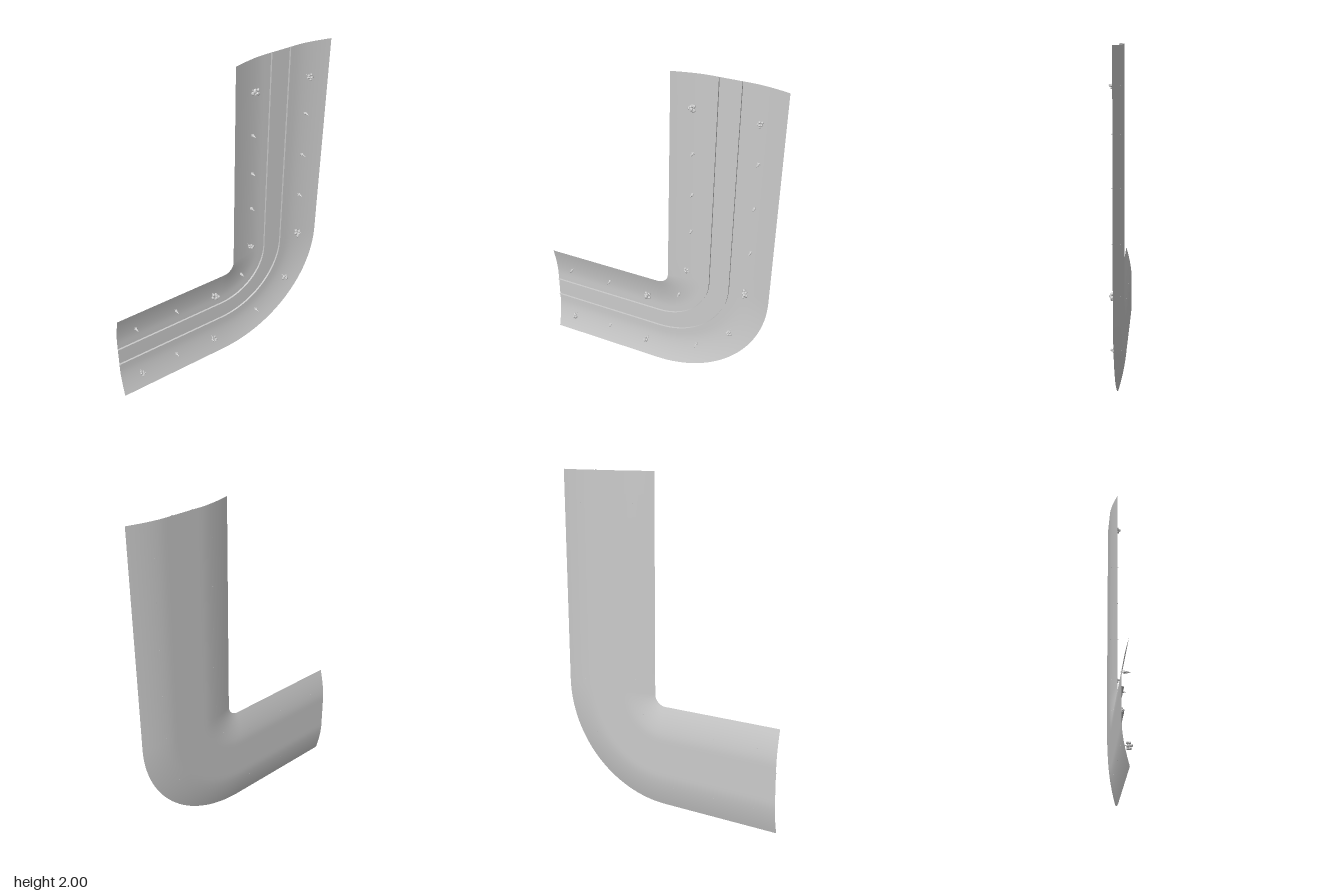
import * as THREE from 'three';
import { toCreasedNormals } from 'three/addons/utils/BufferGeometryUtils.js';

const CENTER = { x: 0.017, y: 0.7 };   // centre of the bend
const INNER = 0.07, OUTER = 0.7, FLOOR = -0.036;

const material = new THREE.MeshStandardMaterial({ color: 0xcccccc, side: THREE.DoubleSide });

// Stations along the road: straight leg, quarter bend, upright straight
const stations = [];
for (let i = 0; i < 8; i++) {
  const x = -0.716 + (CENTER.x + 0.716) * i / 8;
  stations.push((r) => [x, CENTER.y - r]);
}
for (let i = 0; i <= 32; i++) {
  const a = -Math.PI / 2 + (Math.PI / 2) * i / 32;
  stations.push((r) => [CENTER.x + r * Math.cos(a), CENTER.y + r * Math.sin(a)]);
}
for (let i = 1; i <= 10; i++) {
  const y = CENTER.y + (2 - CENTER.y) * i / 10;
  stations.push((r) => [CENTER.x + r, y]);
}

// Height of the trough: flat floor, banks rising towards both edges
function bankHeight(r) {
  const edge = Math.min(r - INNER, OUTER - r);
  const t = Math.max(0, 1 - edge / 0.2);
  return FLOOR - FLOOR * Math.pow(t, 1.6);
}

// Sweep a [radius, z] profile along the stations
function sweep(profile, crease) {
  const n = profile.length, positions = [], index = [];
  stations.forEach((at, i) => {
    for (const [r, z] of profile) positions.push(...at(r), z);
    if (i === 0) return;
    for (let j = 0; j < n - 1; j++) {
      const a = (i - 1) * n + j, b = a + n;
      index.push(a, a + 1, b, b, a + 1, b + 1);
    }
  });
  const geometry = new THREE.BufferGeometry();
  geometry.setAttribute('position', new THREE.Float32BufferAttribute(positions, 3));
  geometry.setIndex(index);
  geometry.computeVertexNormals();
  return toCreasedNormals(geometry, crease);
}

function addMesh(parent, geometry, name, mat = material) {
  const mesh = new THREE.Mesh(geometry, mat);
  mesh.name = name;
  parent.add(mesh);
  return mesh;
}

const plantMaterial = new THREE.MeshStandardMaterial({ color: 0xcccccc, flatShading: true });
const blob = new THREE.IcosahedronGeometry(1, 0);
const cone = new THREE.ConeGeometry(1, 1, 5).rotateX(Math.PI / 2);
const stem = new THREE.CylinderGeometry(0.0015, 0.002, 1, 5).rotateX(Math.PI / 2);

// Ground height below a point on the front
function groundAt(x, y) {
  const dx = Math.max(0, x - CENTER.x), dy = Math.max(0, CENTER.y - y);
  return bankHeight(Math.hypot(dx, dy));
}

// Leafy cluster on a short stem
function bush(x, y, size, seed) {
  const group = new THREE.Group();
  group.name = 'bush';
  const base = groundAt(x, y);
  const trunk = addMesh(group, stem, 'bushStem', plantMaterial);
  trunk.position.z = (base - 0.002 + 0.012) / 2;
  trunk.scale.z = 0.014 - base;
  for (let i = 0; i < 7; i++) {
    const a = i * 2.4 + seed, d = i === 0 ? 0 : size * (0.55 + 0.15 * Math.sin(i * 5 + seed));
    const leaf = addMesh(group, blob, 'bushLeaves', plantMaterial);
    leaf.position.set(d * Math.cos(a), d * Math.sin(a), i === 0 ? 0.02 : 0.006 + 0.008 * Math.sin(i * 3 + seed));
    leaf.scale.setScalar(size * 0.38);
    leaf.rotation.set(i, seed, 0);
  }
  group.position.set(x, y, 0);
  return group;
}

// Small pointed tree
function sapling(x, y, size) {
  const group = new THREE.Group();
  group.name = 'sapling';
  const base = groundAt(x, y);
  const trunk = addMesh(group, stem, 'saplingStem', plantMaterial);
  trunk.position.z = base + 0.008;
  trunk.scale.z = 0.02;
  for (let i = 0; i < 2; i++) {
    const crown = addMesh(group, cone, 'saplingCrown', plantMaterial);
    crown.position.z = base + 0.024 + i * 0.012;
    crown.scale.set(size * (1 - 0.3 * i), size * (1 - 0.3 * i), 0.024);
    crown.rotation.z = i * 0.6;
  }
  group.position.set(x, y, 0);
  return group;
}

export function createModel() {
  const model = new THREE.Group();
  model.name = 'roadBend';

  // Curved sheet of ground
  const ground = [];
  for (let j = 0; j <= 28; j++) {
    const r = INNER + (OUTER - INNER) * j / 28;
    ground.push([r, bankHeight(r)]);
  }
  addMesh(model, sweep(ground, Math.PI / 3), 'ground');

  // Thin kerbs on either side of the lane
  for (const [r, name] of [[0.322, 'innerKerb'], [0.446, 'outerKerb']]) {
    const w = 0.002, top = FLOOR + 0.011;
    addMesh(model, sweep([[r - w, FLOOR], [r - w, top], [r + w, top], [r + w, FLOOR]], Math.PI / 4), name);
  }

  // Planting along both verges
  const bushes = [
    [0.215, 1.82, 0.027], [0.582, 1.808, 0.02], [0.575, 0.725, 0.028], [0.21, 0.775, 0.021],
    [-0.05, 0.495, 0.027], [0.495, 0.392, 0.022], [-0.06, 0.132, 0.021], [-0.585, 0.135, 0.022],
  ];
  bushes.forEach(([x, y, size], i) => model.add(bush(x, y, size, i * 1.3)));

  const saplings = [
    [0.217, 1.545], [0.585, 1.57], [0.222, 1.29], [0.582, 1.295], [0.222, 1.045], [0.582, 1.005],
    [0.157, 0.565], [-0.32, 0.5], [-0.595, 0.5], [-0.33, 0.135], [0.28, 0.202],
  ];
  for (const [x, y] of saplings) model.add(sapling(x, y, 0.01));

  return model;
}
